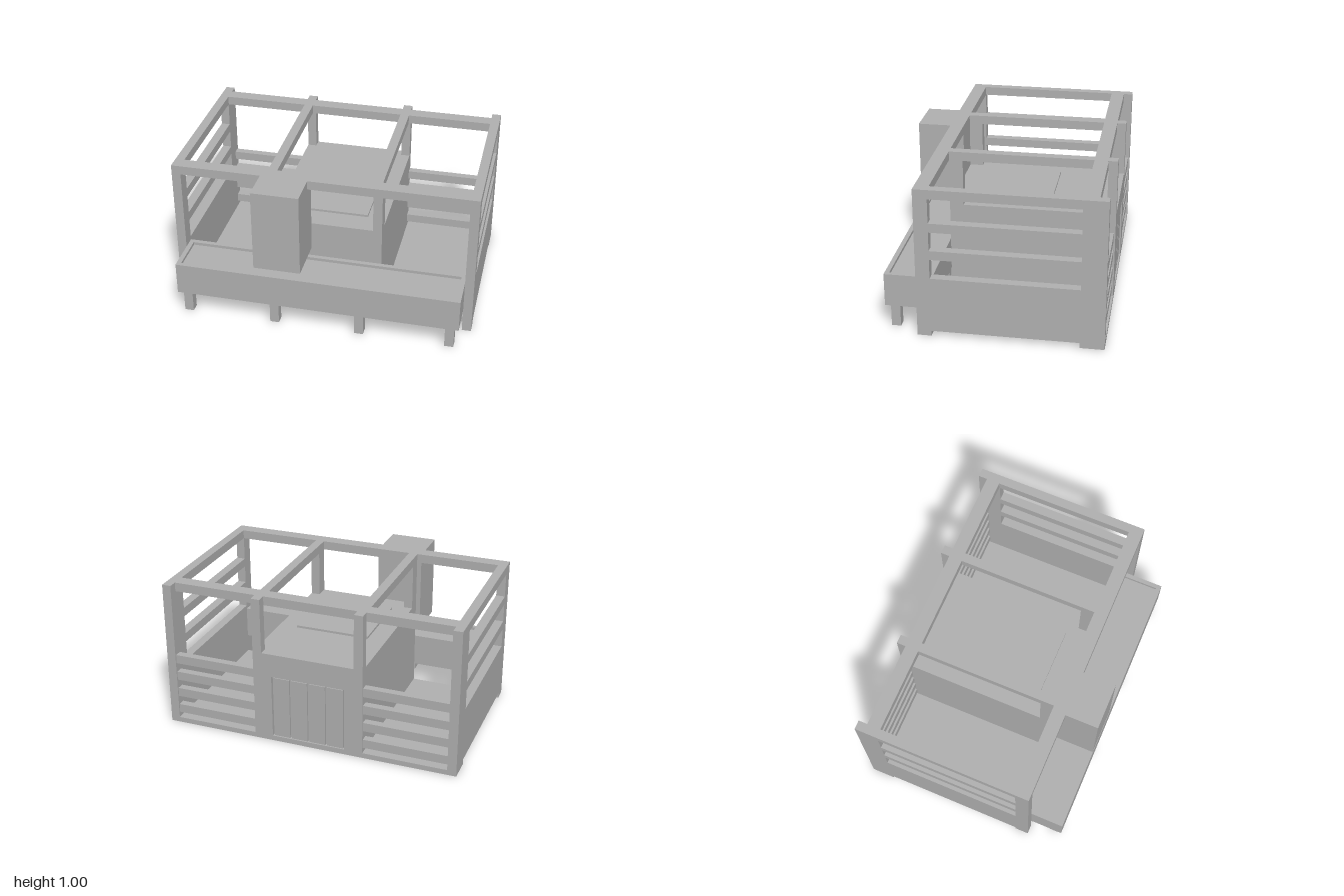
import * as THREE from 'three';

export function createModel() {
  const model = new THREE.Group();
  const grey = new THREE.MeshStandardMaterial({ color: 0xb2b2b2 });
  grey.name = 'plain grey';

  // Box given by its limits on each axis
  function box(name, [x0, x1], [y0, y1], [z0, z1]) {
    const mesh = new THREE.Mesh(new THREE.BoxGeometry(x1 - x0, y1 - y0, z1 - z0), grey);
    mesh.position.set((x0 + x1) / 2, (y0 + y1) / 2, (z0 + z1) / 2);
    mesh.name = name;
    model.add(mesh);
  }
  // Same box on both sides of x = 0
  function pair(name, [x0, x1], y, z) {
    box(name + 'Left', [x0, x1], y, z);
    box(name + 'Right', [-x1, -x0], y, z);
  }

  const side = [0.94, 1];
  const middle = [0.315, 0.375];
  const bay = [-0.545, 0.39];

  // Floor
  box('floor', [-0.94, 0.94], [0, 0.035], [-0.7, 0.39]);

  // Posts
  pair('backCornerPost', side, [0, 1], [-0.7, -0.545]);
  pair('frontCornerPost', side, [0, 1], [0.39, 0.48]);
  pair('backMiddlePost', middle, [0.63, 1], [-0.7, -0.64]);
  pair('frontMiddlePost', middle, [0.63, 0.94], [0.3, 0.39]);

  // Roof beams
  box('backBeam', [-0.94, 0.94], [0.94, 1], [-0.64, -0.55]);
  box('frontBeam', [-0.94, 0.94], [0.94, 1], [0.39, 0.48]);
  pair('sideBeam', side, [0.94, 1], bay);
  pair('middleBeam', middle, [0.94, 1], [-0.55, 0.39]);

  // Side walls with rails above
  pair('sideWall', side, [0.035, 0.405], bay);
  for (const y of [0.535, 0.72]) pair('sideRail', side, [y, y + 0.06], bay);

  // Back slats
  for (let i = 0; i < 4; i++) {
    const y = 0.07 + i * 0.1233;
    pair('backSlat', [0.375, 0.94], [y, y + 0.06], [-0.69, -0.64]);
  }

  // Central counter with a framed, boarded recess at the back
  box('counter', [-0.375, 0.375], [0.035, 0.63], [-0.675, 0.39]);
  pair('counterStile', [0.25, 0.375], [0.035, 0.63], [-0.7, -0.675]);
  box('counterTopRail', [-0.25, 0.25], [0.47, 0.63], [-0.7, -0.675]);
  for (let i = 0; i < 4; i++) {
    const x = -0.24 + i * 0.1233;
    box('counterBoard', [x, x + 0.11], [0.035, 0.46], [-0.69, -0.675]);
  }
  box('counterPlate', [-0.25, 0.25], [0.63, 0.645], [-0.265, 0.235]);

  // Front trough: bed, rim and legs
  box('troughBed', [-0.91, 0.91], [0.16, 0.36], [0.42, 0.67]);
  pair('troughEnd', [0.91, 0.94], [0.16, 0.38], [0.39, 0.7]);
  box('troughFront', [-0.91, 0.91], [0.16, 0.38], [0.67, 0.7]);
  box('troughBack', [-0.91, 0.91], [0.16, 0.38], [0.39, 0.42]);
  for (const z of [0.42, 0.61]) {
    pair('outerLeg', [0.85, 0.91], [0, 0.16], [z, z + 0.06]);
    pair('innerLeg', [0.255, 0.315], [0, 0.16], [z, z + 0.06]);
  }

  // Raised block hanging above the trough
  box('raisedBlock', [-0.405, -0.095], [0.44, 1], [0.39, 0.7]);

  return model;
}
